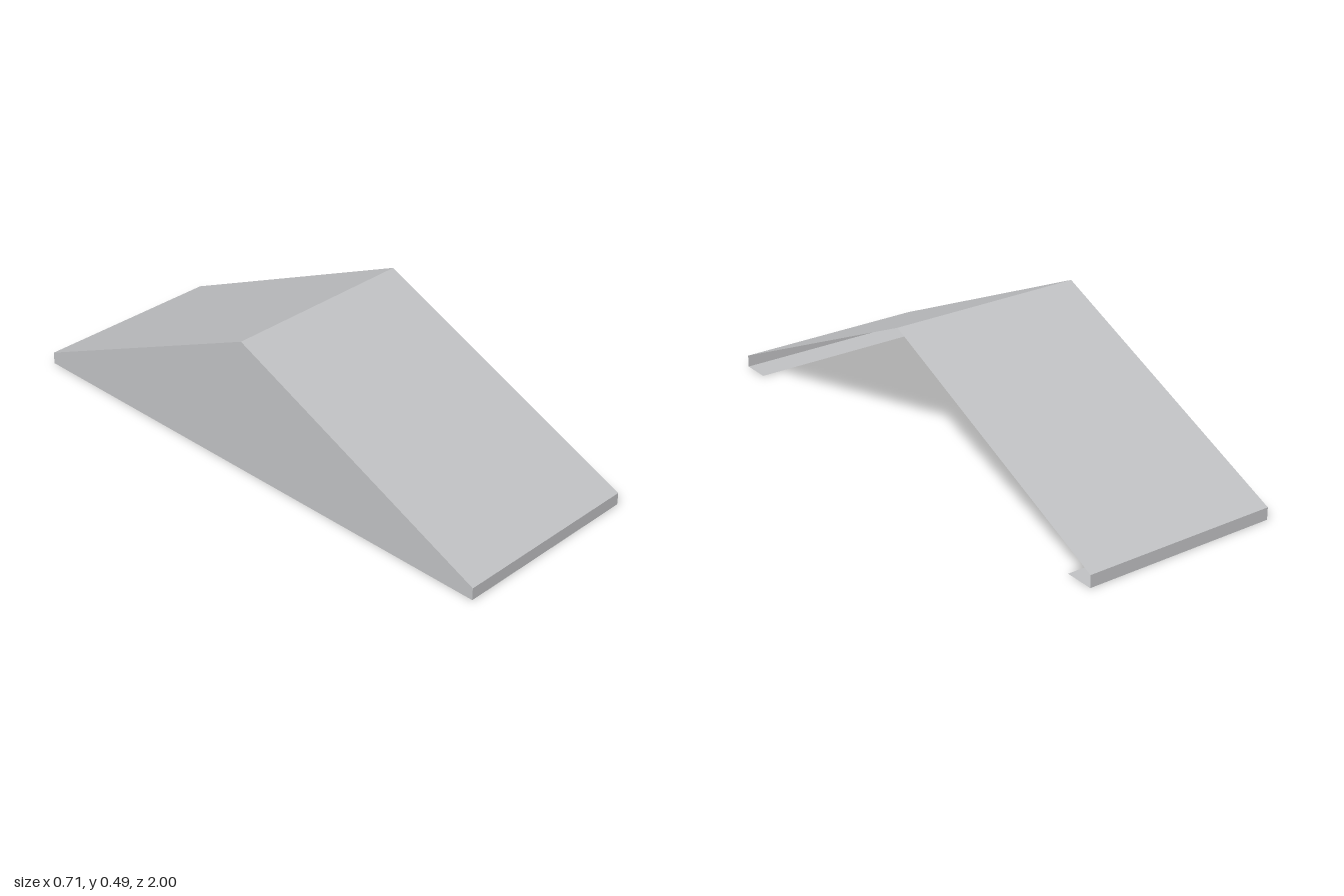
import * as THREE from 'three';

const W = 0.357;    // half width (x)
const L = 1;        // half span (z)
const EAVE = 0.044; // top of the fascia
const RIDGE = 0.493;
const SOFFIT = 0.105;

// Flat strip spanning the full width between two (y, z) points, facing outward
function strip(name, [y0, z0], [y1, z1], material) {
  const geo = new THREE.BufferGeometry();
  geo.setAttribute('position', new THREE.Float32BufferAttribute([
    -W, y0, z0, W, y0, z0, W, y1, z1, -W, y1, z1,
  ], 3));
  geo.setIndex([0, 1, 2, 0, 2, 3]);
  geo.computeVertexNormals();
  const mesh = new THREE.Mesh(geo, material);
  mesh.name = name;
  return mesh;
}

export function createModel() {
  const model = new THREE.Group();
  model.name = 'gableRoof';
  const grey = new THREE.MeshStandardMaterial({ color: 0xc0c1c3, side: THREE.DoubleSide });
  grey.name = 'roofGrey';

  // Front and back halves: slope, fascia and the soffit under the eave
  for (const side of ['front', 'back']) {
    const half = new THREE.Group();
    half.name = side + 'Half';
    half.add(
      strip('slope', [EAVE, L], [RIDGE, 0], grey),
      strip('fascia', [0, L], [EAVE, L], grey),
      strip('soffit', [0, L - SOFFIT], [0, L], grey),
    );
    if (side === 'back') half.rotation.y = Math.PI;
    model.add(half);
  }

  // Gable wall closes the -x end only; the +x end stays open
  const profile = new THREE.Shape([
    new THREE.Vector2(-L, 0), new THREE.Vector2(L, 0), new THREE.Vector2(L, EAVE),
    new THREE.Vector2(0, RIDGE), new THREE.Vector2(-L, EAVE),
  ]);
  const gable = new THREE.Mesh(new THREE.ShapeGeometry(profile), grey);
  gable.name = 'gableWall';
  gable.rotation.y = -Math.PI / 2;
  gable.position.x = -W;
  model.add(gable);

  return model;
}
